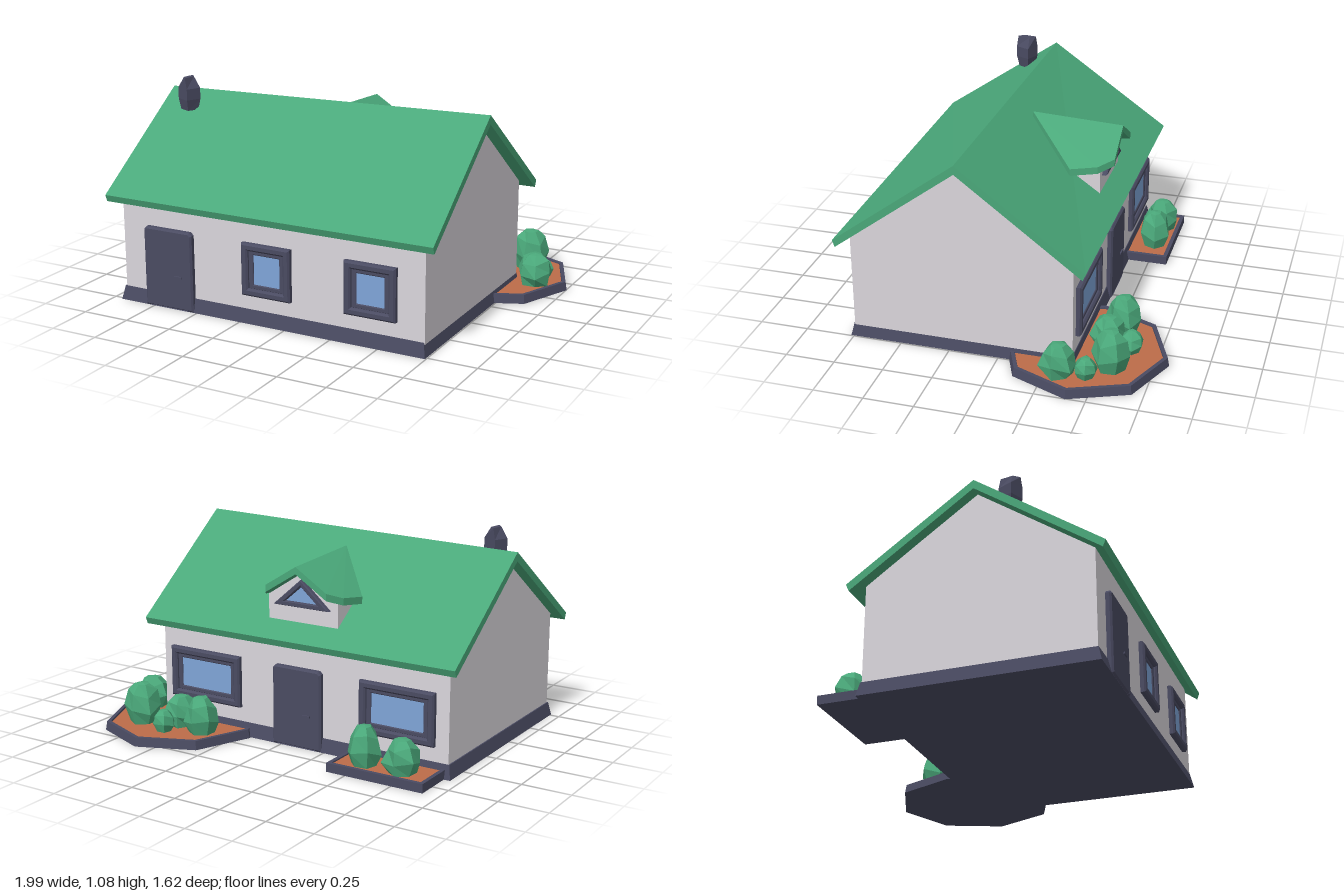
import * as THREE from 'three';

const mat = (name, color, side = THREE.FrontSide) => {
  const m = new THREE.MeshStandardMaterial({ color, side });
  m.name = name;
  m.flatShading = true;
  return m;
};

export function createModel() {
  const house = new THREE.Group();
  house.name = 'cottage';
  const white = mat('plaster white', 0xdad6dc);
  const slate = mat('slate', 0x4a4b62);
  const green = mat('green', 0x4aa87a);
  const soil = mat('soil brown', 0xbc6c49);
  const blue = mat('glass blue', 0x7fa5d8);

  const add = (name, geo, material, parent = house, x = 0, y = 0, z = 0) => {
    const m = new THREE.Mesh(geo, material);
    m.name = name;
    m.position.set(x, y, z);
    parent.add(m);
    return m;
  };
  const polygon = (pts) => new THREE.Shape(pts.map(([x, y]) => new THREE.Vector2(x, y)));
  const reshape = (geo, rule) => {
    const p = geo.attributes.position;
    const v = new THREE.Vector3();
    for (let i = 0; i < p.count; i++) {
      rule(v.fromBufferAttribute(p, i));
      p.setXYZ(i, v.x, v.y, v.z);
    }
    geo.computeVertexNormals();
    return geo;
  };

  // Prism along x from [z, y] points; the ridge rises towards +x
  const ridgeZ = 0.185;
  const prismX = (pts, x0, x1) => {
    const geo = new THREE.ExtrudeGeometry(polygon(pts.map(([z, y]) => [-z, y])),
      { depth: x1 - x0, bevelEnabled: false });
    geo.rotateY(Math.PI / 2).translate(x0, 0, 0);
    return reshape(geo, (v) => {
      if (Math.abs(v.z - ridgeZ) < 0.01) v.y += 0.0196 * (v.x + 0.095);
    });
  };

  // Walls, roof and plinth
  add('walls', prismX([[0.745, 0.06], [-0.37, 0.06], [-0.37, 0.56], [ridgeZ, 0.966], [0.745, 0.56]],
    -0.93, 0.735), white);
  add('roof', prismX([[0.81, 0.555], [0.797, 0.52], [ridgeZ, 0.963], [-0.43, 0.52],
    [-0.445, 0.555], [ridgeZ, 1.008]], -0.99, 0.8), green);
  add('plinth', reshape(new THREE.BoxGeometry(1.695, 0.07, 1.155), (v) => {
    if (v.y > 0) { v.x *= 0.984; v.z *= 0.972; }
  }), slate, house, -0.1025, 0.035, 0.1875);

  // Chimney, pinched to a short edge at the top
  const chimney = new THREE.BoxGeometry(0.08, 0.17, 0.08, 1, 3, 1).rotateY(-0.42);
  add('chimney', reshape(chimney, (v) => {
    if (v.y < -0.08) { v.x *= 0.8; v.z *= 0.75; }
    if (v.y > 0.08) { v.x *= 0.35; v.z *= 0.9; }
  }), slate, house, -0.815, 0.992, 0.305);

  // Window and door pieces, built facing +z
  const rect = (w, h) => [[-w / 2, -h / 2], [w / 2, -h / 2], [w / 2, h / 2], [-w / 2, h / 2]];
  const frameGeo = (outer, inner, depth, bevel) => {
    const s = polygon(outer);
    s.holes.push(polygon(inner));
    return new THREE.ExtrudeGeometry(s, {
      depth: depth - bevel, bevelThickness: bevel, bevelSize: bevel, bevelOffset: -bevel, bevelSegments: 1,
    });
  };
  const wallGroup = (name, x, y, back) => {
    const g = new THREE.Group();
    g.name = name;
    g.position.set(x, y, back ? -0.37 : 0.745);
    if (back) g.rotation.y = Math.PI;
    house.add(g);
    return g;
  };
  const window_ = (name, x, w, back) => {
    const h = 0.265;
    const g = wallGroup(name, x, 0.278, back);
    add('windowFrame', frameGeo(rect(w, h), rect(w - 0.075, h - 0.075), 0.028, 0.009), slate, g);
    add('windowSash', frameGeo(rect(w - 0.07, h - 0.07), rect(w - 0.125, h - 0.115), 0.012, 0.004), slate, g);
    add('windowPane', new THREE.BoxGeometry(w - 0.11, h - 0.1, 0.006), blue, g, 0, 0, 0.003);
  };
  window_('frontWindowMiddle', -0.098, 0.268, false);
  window_('frontWindowLeft', 0.46, 0.27, false);
  window_('backWindowLeft', 0.465, 0.43, true);
  window_('backWindowRight', -0.655, 0.41, true);

  const door = (name, x, back) => {
    const g = wallGroup(name, x, 0, back);
    const arch = (hw, top) => [[-hw, 0.002], [hw, 0.002], [hw, top - 0.015], [hw - 0.015, top],
      [-hw + 0.015, top], [-hw, top - 0.015]];
    const inner = [[-0.103, 0.012], [0.103, 0.012], [0.103, 0.378], [-0.103, 0.378]];
    add('doorFrame', frameGeo(arch(0.14, 0.412), inner, 0.028, 0.009), slate, g);
    add('doorLeaf', new THREE.BoxGeometry(0.21, 0.37, 0.044), slate, g, 0, 0.195, -0.004);
    if (back) {
      add('doorPane', new THREE.BoxGeometry(0.075, 0.22, 0.006), blue, g, 0, 0.23, 0.018);
      add('doorPaneFrame', frameGeo(rect(0.12, 0.265), rect(0.07, 0.215), 0.012, 0.004), slate, g, 0, 0.23, 0.016);
    }
    add('handlePlate', new THREE.BoxGeometry(0.016, 0.05, 0.008), slate, g, 0.075, 0.17, 0.02);
    add('handle', new THREE.BoxGeometry(0.045, 0.01, 0.01), slate, g, 0.06, 0.175, 0.03);
  };
  door('frontDoor', -0.655, false);
  door('backDoor', -0.095, true);

  // Dormer on the back slope
  const dormer = new THREE.Group();
  dormer.name = 'dormer';
  dormer.position.x = -0.1;
  house.add(dormer);
  add('dormerWalls', new THREE.ExtrudeGeometry(
    polygon([[-0.2, 0.6], [0.2, 0.6], [0.2, 0.752], [0, 0.882], [-0.2, 0.752]]),
    { depth: 0.2, bevelEnabled: false }), white, dormer, 0, 0, -0.338);
  const half = [[0, 0.945, 0.065], [0.25, 0.765, -0.195], [0.225, 0.782, -0.33], [0.175, 0.812, -0.405],
    [0, 0.922, -0.405]];
  for (const s of [1, -1]) {
    const n = half.length;
    const pos = [];
    for (const drop of [0, 0.036]) for (const [x, y, z] of half) pos.push(x * s, y - drop, z);
    const index = [];
    const tri = (a, b, c) => (s > 0 ? index.push(a, b, c) : index.push(a, c, b));
    for (let i = 1; i < n - 1; i++) {
      tri(0, i, i + 1);
      tri(n, n + i + 1, n + i);
    }
    for (let i = 0; i < n - 1; i++) {
      tri(i, n + i, i + 1);
      tri(i + 1, n + i, n + i + 1);
    }
    const geo = new THREE.BufferGeometry();
    geo.setAttribute('position', new THREE.Float32BufferAttribute(pos, 3));
    geo.setIndex(index);
    geo.computeVertexNormals();
    add(s > 0 ? 'dormerRoofLeft' : 'dormerRoofRight', geo, dormerGreen(green), dormer);
  }
  const gableWindow = new THREE.Group();
  gableWindow.name = 'dormerWindow';
  gableWindow.position.z = -0.338;
  gableWindow.rotation.y = Math.PI;
  dormer.add(gableWindow);
  add('dormerFrame', frameGeo([[-0.16, 0.71], [0.16, 0.71], [0, 0.85]],
    [[-0.095, 0.733], [0.095, 0.733], [0, 0.815]], 0.026, 0.006), slate, gableWindow);
  add('dormerPane', new THREE.ExtrudeGeometry(polygon([[-0.105, 0.73], [0.105, 0.73], [0, 0.82]]),
    { depth: 0.005, bevelEnabled: false }), blue, gableWindow);

  // Octagonal flower bed
  const bedProfile = [[0, 0], [0.41, 0], [0.402, 0.045], [0.382, 0.045], [0.378, 0.03]]
    .map(([x, y]) => new THREE.Vector2(x, y));
  add('roundBedRim', new THREE.LatheGeometry(bedProfile, 8), slate, house, 0.593, 0, -0.403);
  add('roundBedSoil', new THREE.CircleGeometry(0.385, 8).rotateX(-Math.PI / 2), soil, house, 0.593, 0.037, -0.403);

  // Rectangular flower bed
  add('boxBedBase', new THREE.BoxGeometry(0.52, 0.03, 0.23), slate, house, -0.657, 0.015, -0.483);
  add('boxBedSoil', new THREE.BoxGeometry(0.49, 0.008, 0.21), soil, house, -0.657, 0.034, -0.478);
  add('boxBedRimBack', new THREE.BoxGeometry(0.52, 0.045, 0.02), slate, house, -0.657, 0.0225, -0.588);
  for (const x of [-0.907, -0.407]) {
    add('boxBedRimSide', new THREE.BoxGeometry(0.02, 0.045, 0.23), slate, house, x, 0.0225, -0.483);
  }

  // Faceted bushes: x, z, radius, height
  const bushes = [
    [0.38, -0.54, 0.09, 0.19], [0.56, -0.62, 0.06, 0.11], [0.54, -0.5, 0.088, 0.16],
    [0.74, -0.56, 0.095, 0.21], [0.84, -0.46, 0.06, 0.1], [0.855, -0.33, 0.092, 0.165],
    [-0.755, -0.5, 0.092, 0.17], [-0.55, -0.5, 0.086, 0.2],
  ];
  bushes.forEach(([x, z, r, h], k) => {
    const profile = [[0.72, 0], [1, 0.36], [0.8, 0.75], [0.4, 0.97], [0, 1]]
      .map(([a, b]) => new THREE.Vector2(a * r, b * h));
    const geo = reshape(new THREE.LatheGeometry(profile, 6, k * 0.7), (v) => {
      const a = Math.atan2(v.x, v.z);
      const f = 1 + 0.1 * Math.sin(3 * a + k * 2 + v.y * 40);
      v.x *= f;
      v.z *= f;
      if (v.y > 0.3 * h && v.y < 0.9 * h) v.y += 0.09 * h * Math.sin(2 * a + k);
    });
    add('bush', geo, green, house, x, 0.036, z);
  });

  return house;
}

// The dormer shares the roof material
function dormerGreen(material) {
  return material;
}
